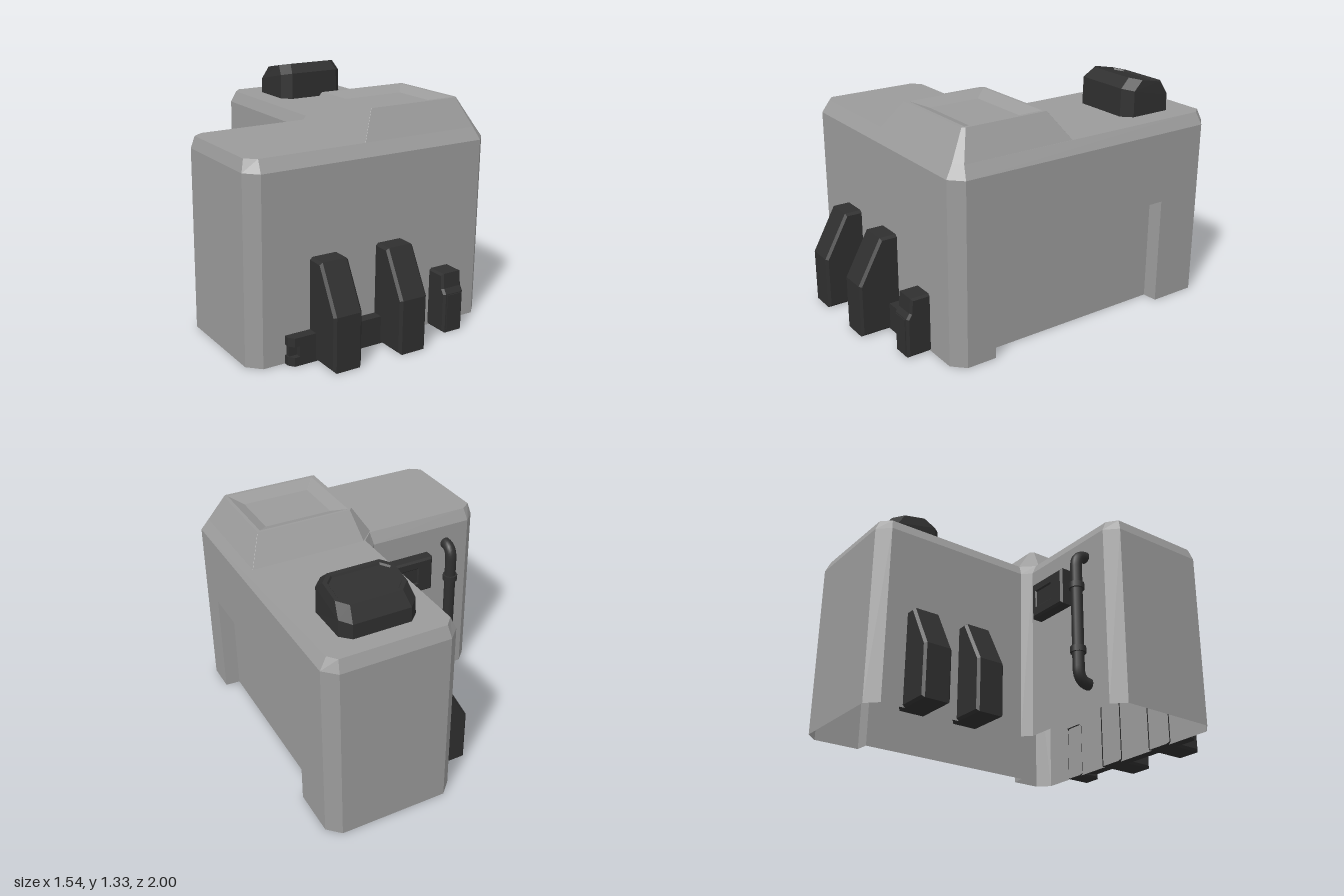
import * as THREE from 'three';

const grey = new THREE.MeshStandardMaterial({ color: 0x9b9b9b, side: THREE.DoubleSide });
const dark = new THREE.MeshStandardMaterial({ color: 0x2f2f2f, side: THREE.DoubleSide });

// Flat-shaded geometry from polygons (fans, counter-clockwise from outside)
function polygons(list) {
  const pos = [];
  for (const p of list)
    for (let i = 1; i < p.length - 1; i++) pos.push(...p[0], ...p[i], ...p[i + 1]);
  const g = new THREE.BufferGeometry();
  g.setAttribute('position', new THREE.Float32BufferAttribute(pos, 3));
  g.computeVertexNormals();
  return g;
}

// Quads between successive loops
function loft(loops, skip = () => false) {
  const out = [];
  for (let k = 0; k < loops.length - 1; k++) {
    const a = loops[k], b = loops[k + 1], n = a.length;
    for (let i = 0; i < n; i++) {
      const j = (i + 1) % n;
      if (!skip(k, i)) out.push([a[i], a[j], b[j], b[i]]);
    }
  }
  return out;
}

// Lift an [x, z] loop to height y (number or function of z)
const lift = (loop, y) => loop.map(([x, z]) => [x, typeof y === 'function' ? y(z) : y, z]);

// Mitred inset of a flat loop
function inset(loop, d) {
  const n = loop.length;
  const normal = (a, b) => {
    const dx = b[0] - a[0], dz = b[1] - a[1], l = Math.hypot(dx, dz);
    return [-dz / l, dx / l];
  };
  return loop.map((p, i) => {
    const u = normal(loop[(i + n - 1) % n], p), v = normal(p, loop[(i + 1) % n]);
    const s = d / (1 + u[0] * v[0] + u[1] * v[1]);
    return [p[0] - s * (u[0] + v[0]), p[1] - s * (u[1] + v[1])];
  });
}

// Rectangle with a chamfer per corner: front left, front right, back right, back left
function chamferRect(x0, x1, z0, z1, [a, b, c, d]) {
  return [[x0, z1 - a], [x0 + a, z1], [x1 - b, z1], [x1, z1 - b],
    [x1, z0 + c], [x1 - c, z0], [x0 + d, z0], [x0, z0 + d]];
}

// Bevelled shell from a profile of [distance from wall, height]; its last edge, the back, is open
function shell(profile, width, bevel) {
  const at = (loop, z) => loop.map(([x, y]) => [x, y, z]);
  const small = inset(profile, -bevel), h = width / 2;
  const loops = [at(small, -h), at(profile, bevel - h), at(profile, h - bevel), at(small, h)];
  const sides = loft(loops, (k, i) => i === profile.length - 1);
  return polygons([...sides, [...loops[0]].reverse(), loops[3]]);
}

const shapeOf = points => new THREE.Shape(points.map(p => new THREE.Vector2(...p)));

export function createModel() {
  const model = new THREE.Group();
  const add = (name, geo, mat = dark, x = 0, y = 0, z = 0, ry = 0) => {
    const m = new THREE.Mesh(geo, mat);
    m.name = name;
    m.position.set(x, y, z);
    m.rotation.y = ry;
    model.add(m);
  };
  const box = (name, w, h, d, x, y, z) => add(name, new THREE.BoxGeometry(w, h, d), dark, x, y, z);

  // L-shaped hollow body, open below
  const plan = [[-0.77, 0.69], [-0.7, 0.76], [0.7, 0.76], [0.77, 0.69], [0.77, -0.93], [0.7, -1],
    [0.07, -1], [0, -0.93], [0, -0.02], [-0.05, 0.03], [-0.7, 0.03], [-0.77, 0.1]];
  const roof = lift([[-0.75, 0.67], [-0.69, 0.715], [0.681, 0.715], [0.725, 0.671], [0.73, -0.92],
    [0.69, -0.97], [0.08, -0.97], [0.03, -0.915], [0.03, -0.01], [-0.04, 0.065], [-0.69, 0.065],
    [-0.75, 0.11]], 1.118);
  const walls = loft([lift(plan, 0), lift(plan, 1.05), roof], (k, i) => k === 0 && i === 3);
  const cap = [[9, 10, 11, 0, 1, 2, 3, 8], [8, 3, 4, 5, 6, 7]].map(f => f.map(i => roof[i]));
  add('body', polygons([...walls, ...cap]), grey);

  // Side wall with its wide recessed doorway
  const X = 0.77, strip = (z0, z1, y0, y1) => [[X, y0, z0], [X, y0, z1], [X, y1, z1], [X, y1, z0]];
  add('sideWall', polygons([strip(0.69, 0.51, 0, 1.05), strip(-0.65, -0.93, 0, 1.05),
    strip(0.51, -0.65, 0.635, 1.05)]), grey);
  const outer = [[X, 0, 0.51], [X, 0.635, 0.51], [X, 0.635, -0.65], [X, 0, -0.65]];
  const inner = [[0.683, 0, 0.503], [0.683, 0.615, 0.503], [0.683, 0.615, -0.643], [0.683, 0, -0.643]];
  const reveal = [0, 1, 2].map(i => [outer[i], inner[i], inner[i + 1], outer[i + 1]]);
  add('doorRecess', polygons([...reveal, [...inner].reverse()]), grey);

  // Corner tower with a sunken top
  const sharp = [0.001, 0.001, 0.001, 0.001];
  const tower = [
    lift(chamferRect(-0.05, 0.725, -0.01, 0.715, [0.001, 0.044, 0.001, 0.09]), 1.118),
    lift(chamferRect(0.05, 0.64, 0.1, 0.62, [0.001, 0.015, 0.001, 0.02]), 1.275),
    lift(chamferRect(0.075, 0.62, 0.115, 0.6, sharp), 1.275),
    lift(chamferRect(0.145, 0.55, 0.2, 0.515, sharp), 1.242),
  ];
  add('tower', polygons([...loft(tower), tower[3]]), grey);

  // Sloping roof unit with a grooved lid
  const even = [0.055, 0.055, 0.055, 0.055];
  const base = chamferRect(0.165, 0.607, -0.857, -0.495, even);
  const lid = chamferRect(0.19, 0.595, -0.805, -0.56, even);
  const lidY = z => 1.284 + (z + 0.8) * 0.205;
  const unit = [
    lift(base, 1.11),
    lift(inset(base, 0.003), z => 1.2 + (z + 0.855) * 0.225),
    lift(lid, lidY),
    lift(inset(lid, 0.022), lidY),
    lift(inset(lid, 0.028), z => lidY(z) - 0.01),
  ];
  add('roofUnit', polygons([...loft(unit), unit[4]]));

  // Buttresses on the front wall and on the inner side wall
  const buttress = back => shell(
    [[back, 0], [0.24, 0], [0.24, 0.31], [0.1, 0.565], [back, 0.565]], 0.173, 0.014);
  for (const x of [-0.33, 0.0865]) add('frontButtress', buttress(-0.022), dark, x, 0, 0.76, -Math.PI / 2);
  for (const z of [-0.713, -0.373]) add('innerButtress', buttress(-0.014), dark, 0.04, 0, z, Math.PI);

  // Low bar behind the front buttresses, notched at both ends
  const full = shapeOf([[-0.57, -0.761], [-0.57, -0.79], [-0.545, -0.822], [0.3, -0.822],
    [0.325, -0.79], [0.325, -0.761]]);
  const notched = shapeOf([[-0.562, -0.761], [-0.562, -0.79], [-0.515, -0.79], [-0.515, -0.822],
    [0.27, -0.822], [0.27, -0.79], [0.317, -0.79], [0.317, -0.761]]);
  for (const [shape, y, depth] of [[full, 0, 0.05], [notched, 0.05, 0.06], [full, 0.11, 0.05]])
    add('bumperBar', new THREE.ExtrudeGeometry(shape, { depth, bevelEnabled: false })
      .rotateX(-Math.PI / 2), dark, 0, y, 0);

  // Short post with a front panel
  add('post', shell([[-0.014, 0], [0.14, 0], [0.14, 0.23], [0.12, 0.26], [0.112, 0.345], [-0.014, 0.345]],
    0.135, 0.012), dark, 0.443, 0, 0.76, -Math.PI / 2);
  box('postPanel', 0.095, 0.205, 0.02, 0.443, 0.122, 0.895);

  // Wall box with a shallow off-centre screen on the rear wall
  const frame = shapeOf([[-0.125, -0.1], [0.125, -0.1], [0.125, 0.1], [-0.125, 0.1]]);
  frame.holes.push(shapeOf([[-0.105, -0.05], [-0.105, 0.06], [0.04, 0.06], [0.04, -0.05]]));
  add('wallBox', new THREE.ExtrudeGeometry(frame, {
    depth: 0.06, bevelEnabled: true, bevelSegments: 1, bevelSize: 0.012, bevelThickness: 0.012,
  }), dark, -0.277, 0.795, 0.027, Math.PI);
  box('wallBoxScreen', 0.15, 0.115, 0.06, -0.2445, 0.8, -0.007);

  // Bent pipe with two collars
  const v = (y, z) => new THREE.Vector3(-0.545, y, z);
  const path = new THREE.CurvePath();
  path.add(new THREE.LineCurve3(v(0.935, 0.035), v(0.935, 0.03)));
  path.add(new THREE.QuadraticBezierCurve3(v(0.935, 0.03), v(0.935, -0.042), v(0.855, -0.042)));
  path.add(new THREE.LineCurve3(v(0.855, -0.042), v(0.235, -0.042)));
  path.add(new THREE.QuadraticBezierCurve3(v(0.235, -0.042), v(0.155, -0.042), v(0.155, 0.03)));
  path.add(new THREE.LineCurve3(v(0.155, 0.03), v(0.155, 0.035)));
  add('pipe', new THREE.TubeGeometry(path, 60, 0.034, 12));
  for (const y of [0.73, 0.34])
    add('pipeCollar', new THREE.CylinderGeometry(0.045, 0.045, 0.035, 12), dark, -0.545, y, -0.042);

  return model;
}
